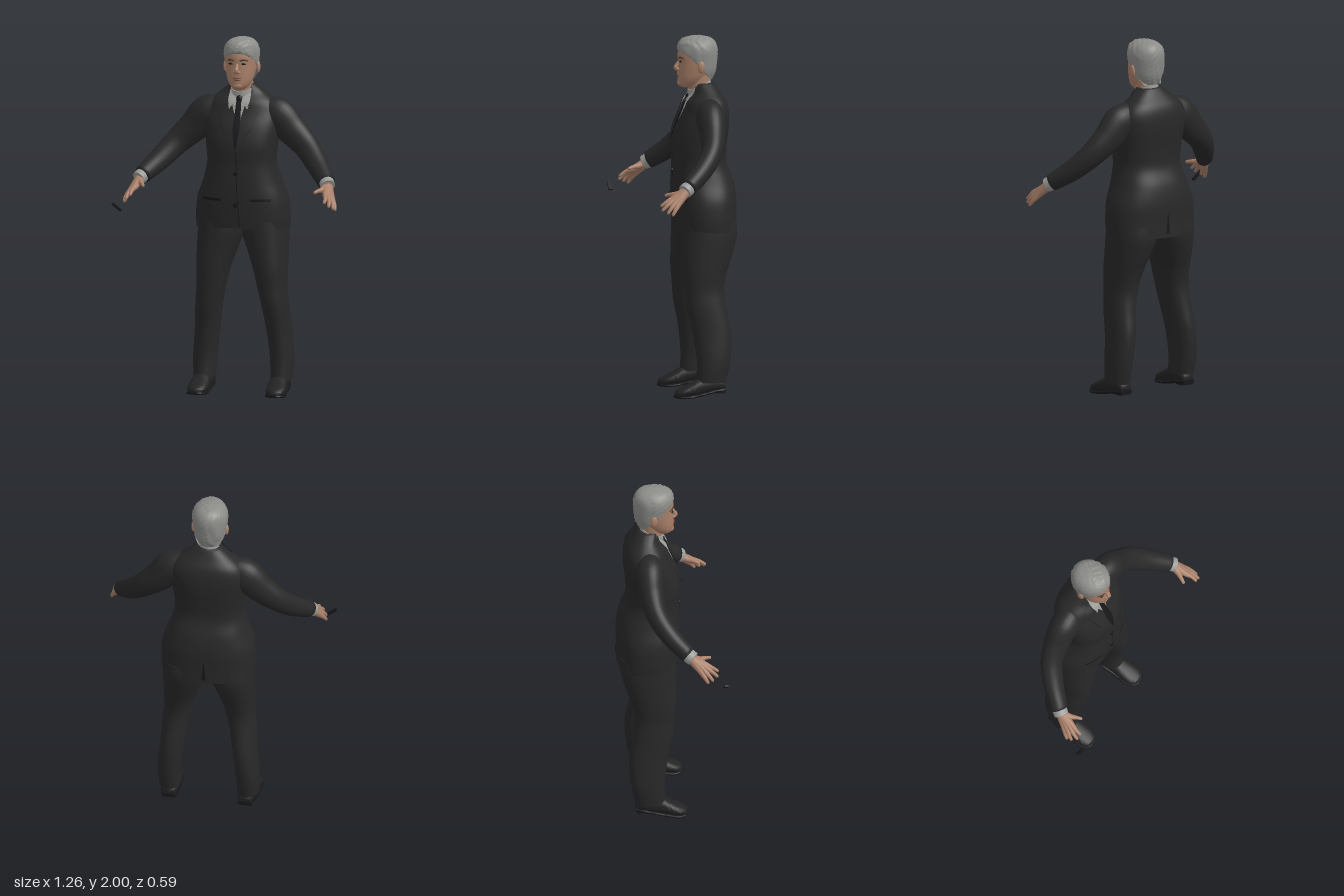
import * as THREE from 'three';
import { mergeVertices, toCreasedNormals } from 'three/addons/utils/BufferGeometryUtils.js';

const mat = (name, color, side = THREE.FrontSide) => {
  const m = new THREE.MeshStandardMaterial({ color, side });
  m.name = name;
  return m;
};
const M = {
  suit: mat('charcoal suit', 0x282828, THREE.DoubleSide),
  trim: mat('black trim', 0x17171a, THREE.DoubleSide),
  shirt: mat('pale grey shirt', 0x9b9c98, THREE.DoubleSide),
  skin: mat('skin', 0xa98069),
  hair: mat('grey hair', 0x8c8d89),
  lips: mat('lips', 0x7d4f45),
  brow: mat('brown brows', 0x4a3a30),
  eye: mat('dark eyes', 0x1c1614),
  shoe: mat('dark shoes', 0x222222),
};
const CX = 0.017; // the body's centre line

// Smoothly interpolates cross-sections [t, a, b, ra, rb] at fractional index f
function ringAt(rings, f) {
  const n = rings.length - 1, i = Math.min(Math.floor(f), n - 1), k = f - i;
  const g = (j) => rings[Math.max(0, Math.min(n, j))];
  return g(i).map((p1, c) => {
    const p0 = g(i - 1)[c], p2 = g(i + 1)[c], p3 = g(i + 2)[c];
    return p1 + 0.5 * k * (p2 - p0 + k * (2 * p0 - 5 * p1 + 4 * p2 - p3 + k * (3 * (p1 - p2) + p3 - p0)));
  });
}

// Closed loft through horizontal super-ellipse sections, lowest first
function loft(rings, { n = 40, sub = 5, p = 2, mod } = {}) {
  const pos = [], idx = [], rows = (rings.length - 1) * sub;
  const sp = (v) => Math.sign(v) * Math.abs(v) ** (2 / p);
  const put = (x, y, z) => pos.push(...(mod ? mod(x, y, z) : [x, y, z]));
  for (let i = 0; i <= rows; i++) {
    const [t, a, b, ra, rb] = ringAt(rings, i / sub);
    for (let j = 0; j < n; j++) {
      const w = (j / n) * Math.PI * 2;
      put(a + ra * sp(Math.cos(w)), t, b + rb * sp(Math.sin(w)));
    }
  }
  for (const r of [rings[0], rings[rings.length - 1]]) put(r[1], r[0], r[2]);
  const lo = (rows + 1) * n, top = rows * n;
  for (let j = 0; j < n; j++) {
    const k = (j + 1) % n;
    for (let i = 0; i < rows; i++) {
      const a = i * n + j, c = i * n + k;
      idx.push(a, a + n, c, c, a + n, c + n);
    }
    idx.push(lo, j, k, lo + 1, top + k, top + j);
  }
  const g = new THREE.BufferGeometry();
  g.setAttribute('position', new THREE.Float32BufferAttribute(pos, 3));
  g.setIndex(idx);
  return toCreasedNormals(g, 1);
}

// Tapered tube through points [x, y, z, radius]; depth squashes it along z
function limb(pts, { seg = 24, n = 16, depth = 1 } = {}) {
  const curve = new THREE.CatmullRomCurve3(pts.map((q) => new THREE.Vector3(q[0], q[1], q[2])));
  const g = new THREE.TubeGeometry(curve, seg, 1, n, false), a = g.attributes.position;
  const v = new THREE.Vector3();
  for (let i = 0; i <= seg; i++) {
    const f = curve.getUtoTmapping(i / seg) * (pts.length - 1);
    const k = Math.min(Math.floor(f), pts.length - 2), c = curve.getPointAt(i / seg);
    const r = i === 0 || i === seg ? 0 : THREE.MathUtils.lerp(pts[k][3], pts[k + 1][3], f - k);
    for (let j = 0; j <= n; j++) {
      const id = i * (n + 1) + j;
      v.fromBufferAttribute(a, id).sub(c).multiplyScalar(r);
      a.setXYZ(id, c.x + v.x, c.y + v.y, c.z + v.z * depth);
    }
  }
  g.deleteAttribute('uv');
  g.deleteAttribute('normal');
  const m = mergeVertices(g, 1e-5);
  m.computeVertexNormals();
  return m;
}

const TORSO = [
  [0.925, CX, -0.12, 0.262, 0.17], [1.0, CX, -0.117, 0.264, 0.172], [1.1, CX, -0.115, 0.254, 0.175],
  [1.2, CX, -0.107, 0.218, 0.167], [1.3, CX, -0.09, 0.193, 0.147], [1.4, CX, -0.09, 0.2, 0.15],
  [1.5, CX, -0.107, 0.212, 0.143], [1.58, CX, -0.125, 0.212, 0.125], [1.64, CX, -0.129, 0.185, 0.107],
  [1.69, CX, -0.13, 0.125, 0.073], [1.735, CX, -0.115, 0.07, 0.057],
];
const TP = 2.4;

// Depth of the jacket surface at x, y; face is 1 for front, -1 for back
function torsoZ(x, y, face) {
  let i = 0;
  while (i < TORSO.length - 2 && TORSO[i + 1][0] < y) i++;
  const f = i + THREE.MathUtils.clamp((y - TORSO[i][0]) / (TORSO[i + 1][0] - TORSO[i][0]), 0, 1);
  const [, a, b, ra, rb] = ringAt(TORSO, f);
  return b + face * rb * Math.max(0, 1 - Math.abs((x - a) / ra) ** TP) ** (1 / TP);
}

// Thin cloth strip hugging the jacket; rows are [y, x0, x1] from the centre line
function strip(rows, off, side = 1, face = 1) {
  const pos = [], idx = [], cols = 6, sub = 6, N = (rows.length - 1) * sub;
  for (let i = 0; i <= N; i++) {
    const k = Math.min(Math.floor(i / sub), rows.length - 2), t = i / sub - k;
    const [y, x0, x1] = rows[k].map((v, c) => THREE.MathUtils.lerp(v, rows[k + 1][c], t));
    for (let j = 0; j <= cols; j++) {
      const x = CX + side * THREE.MathUtils.lerp(x0, x1, j / cols);
      pos.push(x, y, torsoZ(x, y, face) + face * off);
      if (i < N && j < cols) {
        const a = i * (cols + 1) + j, b = a + cols + 1;
        if (side * face > 0) idx.push(a, b, a + 1, a + 1, b, b + 1);
        else idx.push(a, a + 1, b, a + 1, b + 1, b);
      }
    }
  }
  const g = new THREE.BufferGeometry();
  g.setAttribute('position', new THREE.Float32BufferAttribute(pos, 3));
  g.setIndex(idx);
  g.computeVertexNormals();
  return g;
}

export function createModel() {
  const root = new THREE.Group();
  root.name = 'standingPersonInSuit';
  const add = (name, geo, m, x = 0, y = 0, z = 0) => {
    const mesh = new THREE.Mesh(geo, m);
    mesh.name = name;
    mesh.position.set(x, y, z);
    root.add(mesh);
    return mesh;
  };
  const blob = (name, m, x, y, z, rx, ry, rz) =>
    add(name, new THREE.SphereGeometry(1, 16, 12), m, x, y, z).scale.set(rx, ry, rz);

  // Jacket, with a hem that rises towards the front
  add('jacket', loft(TORSO, { n: 56, p: TP,
    mod: (x, y, z) => [x, y + Math.max(0, 1 - y) * (z + 0.12) * 1.2, z] }), M.suit);
  add('shirtFront', strip([[1.53, 0, 0.012], [1.6, -0.03, 0.03], [1.7, -0.055, 0.055]], 0.003), M.shirt);
  add('tie', strip([[1.38, -0.005, 0.005], [1.46, -0.022, 0.022], [1.65, -0.014, 0.014]], 0.009), M.trim);
  blob('tieKnot', M.trim, CX, 1.655, -0.03, 0.02, 0.022, 0.014);
  add('frontOpening', strip([[0.95, 0.02, 0.024], [1.15, 0.006, 0.01], [1.37, 0, 0.004]], 0.002), M.trim);
  add('backVent', strip([[0.93, -0.012, 0.012], [1.05, -0.002, 0.002]], 0.002, 1, -1), M.trim);
  for (const y of [1.07, 1.247]) {
    add('jacketButton', new THREE.CylinderGeometry(0.012, 0.012, 0.008, 16).rotateX(Math.PI / 2),
      M.trim, CX, y, torsoZ(CX, y, 1) + 0.003);
  }

  // Neck and shirt collar, tilted down at the front
  add('neck', loft([[1.6, CX, -0.1, 0.06, 0.055], [1.7, CX, -0.09, 0.058, 0.058], [1.78, CX, -0.085, 0.062, 0.065]]), M.skin);
  add('shirtCollar', loft([[1.66, CX, -0.095, 0.07, 0.066], [1.725, CX, -0.092, 0.064, 0.064]],
    { mod: (x, y, z) => [x, y - 0.45 * (z + 0.092), z] }), M.shirt);

  // Head
  add('face', loft([
    [1.712, CX, -0.03, 0.03, 0.038], [1.73, CX, -0.036, 0.05, 0.063], [1.76, CX, -0.047, 0.068, 0.077],
    [1.8, CX, -0.06, 0.08, 0.09], [1.85, CX, -0.071, 0.088, 0.099], [1.9, CX, -0.076, 0.09, 0.104],
    [1.95, CX, -0.08, 0.078, 0.092], [1.98, CX, -0.08, 0.045, 0.06]]), M.skin);
  // Hair cap, cut back along a hairline falling from forehead to nape
  add('hair', loft([
    [1.755, CX, -0.115, 0.055, 0.05], [1.8, CX, -0.09, 0.084, 0.095], [1.86, CX, -0.085, 0.094, 0.108],
    [1.92, CX, -0.082, 0.099, 0.113], [1.96, CX, -0.08, 0.086, 0.103], [1.985, CX, -0.08, 0.058, 0.076],
    [1.997, CX, -0.08, 0.018, 0.026]], { n: 56, sub: 6, mod: (x, y, z) => {
    const w = 0.003 * Math.sin(x * 170 + y * 90) * Math.sin(z * 150 - y * 110);
    const cut = y < 1.86 ? -0.05 - (1.86 - y) * 0.95 : -0.05 + (y - 1.86) * 1.3;
    return [x + w, y + w * 0.8, Math.min(z + w, cut)];
  } }), M.hair);
  add('nose', limb([[CX, 1.865, 0.018, 0.007], [CX, 1.84, 0.032, 0.01], [CX, 1.822, 0.039, 0.014], [CX, 1.808, 0.027, 0.011]]), M.skin);
  blob('upperLip', M.lips, CX, 1.78, 0.026, 0.025, 0.005, 0.009);
  blob('lowerLip', M.lips, CX, 1.771, 0.025, 0.021, 0.006, 0.009);
  blob('chin', M.skin, CX, 1.737, 0.014, 0.03, 0.02, 0.018);

  for (const s of [1, -1]) {
    const X = (x) => CX + s * x;
    const P = (pts) => pts.map(([x, ...r]) => [X(x), ...r]);

    // Facial features
    blob('eye', M.eye, X(0.036), 1.86, 0.02, 0.014, 0.006, 0.006);
    add('eyebrow', limb(P([[0.015, 1.877, 0.026, 0.004], [0.037, 1.883, 0.021, 0.005], [0.06, 1.876, 0.005, 0.003]])), M.brow);
    blob('nostril', M.skin, X(0.013), 1.814, 0.03, 0.009, 0.008, 0.01);
    blob('ear', M.skin, X(0.094), 1.832, -0.085, 0.011, 0.034, 0.02);

    // Collar points, lapels and pocket flaps
    add('collarPoint', strip([[1.605, 0.05, 0.055], [1.65, 0.016, 0.064], [1.705, 0.012, 0.06]], 0.012, s), M.shirt);
    add('lapel', strip([[1.37, 0, 0.008], [1.5, 0.022, 0.08], [1.605, 0.048, 0.115], [1.61, 0.05, 0.09]], 0.012, s), M.suit);
    add('jacketCollar', strip([[1.61, 0.05, 0.09], [1.632, 0.058, 0.12], [1.68, 0.066, 0.09], [1.72, 0.06, 0.075]], 0.012, s), M.suit);
    add('lapelEdge', strip([[1.38, 0.008, 0.011], [1.5, 0.08, 0.084], [1.605, 0.115, 0.118]], 0.008, s), M.trim);
    add('pocketFlap', strip([[1.093, 0.085, 0.195], [1.108, 0.085, 0.195]], 0.006, s), M.trim);

    // Sleeve, cuff and hand
    add('sleeve', limb(P([[0.1, 1.585, -0.12, 0.08], [0.2, 1.56, -0.115, 0.1], [0.28, 1.48, -0.11, 0.086],
      [0.37, 1.395, -0.085, 0.071], [0.45, 1.305, -0.015, 0.062], [0.535, 1.218, 0.09, 0.049]]),
    { seg: 40, n: 28, depth: 0.82 }), M.suit);
    add('shirtCuff', limb(P([[0.525, 1.228, 0.075, 0.042], [0.543, 1.208, 0.105, 0.04]])), M.shirt);
    const fingers = [
      [[0.572, 1.152, 0.14], [0.597, 1.11, 0.17], [0.606, 1.082, 0.188]],
      [[0.568, 1.158, 0.155], [0.592, 1.122, 0.192], [0.6, 1.092, 0.215]],
      [[0.558, 1.165, 0.167], [0.576, 1.138, 0.21], [0.582, 1.108, 0.243]],
      [[0.545, 1.173, 0.168], [0.555, 1.155, 0.21], [0.556, 1.13, 0.246]],
      [[0.522, 1.193, 0.14], [0.504, 1.19, 0.175], [0.488, 1.182, 0.208]]];
    for (const [a, b, c] of fingers) {
      add('finger', limb(P([[0.537, 1.212, 0.09, 0.027], [...a, 0.018], [...b, 0.011], [...c, 0.008]])), M.skin);
    }

    // Trouser leg
    const leg = [[0.085, 0.22, -0.113, 0.06, 0.083], [0.2, 0.22, -0.127, 0.065, 0.093],
      [0.35, 0.206, -0.123, 0.067, 0.107], [0.5, 0.189, -0.095, 0.074, 0.11], [0.6, 0.174, -0.085, 0.08, 0.11],
      [0.7, 0.163, -0.09, 0.093, 0.125], [0.8, 0.146, -0.107, 0.11, 0.143], [0.9, 0.127, -0.12, 0.127, 0.157],
      [0.98, 0.122, -0.12, 0.126, 0.155]];
    add('trouserLeg', loft(leg.map(([y, x, ...r]) => [y, X(x), ...r]), { p: 2.2 }), M.suit);

    // Shoe and sole, lofted from heel to toe: [z, x, bottom, top, half width]
    const shoe = (rows, p) => loft(rows.map(([z, x, lo, hi, w]) => [z, X(x), -(lo + hi) / 2, w, (hi - lo) / 2]),
      { n: 28, p }).rotateX(Math.PI / 2);
    add('shoe', shoe([[-0.19, 0.215, 0.04, 0.09, 0.035], [-0.15, 0.216, 0.034, 0.115, 0.048],
      [-0.05, 0.22, 0.015, 0.11, 0.05], [0.0, 0.222, 0.01, 0.085, 0.055], [0.05, 0.224, 0.006, 0.06, 0.053],
      [0.08, 0.225, 0.006, 0.045, 0.038], [0.092, 0.225, 0.01, 0.032, 0.018]], 2.3), M.shoe);
    add('sole', shoe([[-0.195, 0.215, 0.034, 0.055, 0.036], [-0.13, 0.216, 0.028, 0.046, 0.051],
      [-0.03, 0.22, 0.006, 0.024, 0.052], [0.04, 0.224, 0, 0.016, 0.059], [0.08, 0.225, 0.002, 0.018, 0.043],
      [0.096, 0.225, 0.005, 0.018, 0.018]], 4), M.trim);
    add('heel', new THREE.BoxGeometry(0.075, 0.024, 0.065), M.trim, X(0.215), 0.036, -0.155);
  }

  // Small slab floating beyond the right hand
  add('smallSlab', new THREE.BoxGeometry(0.062, 0.011, 0.02), M.trim, -0.605, 1.072, 0.283).rotation.z = -0.66;
  return root;
}
